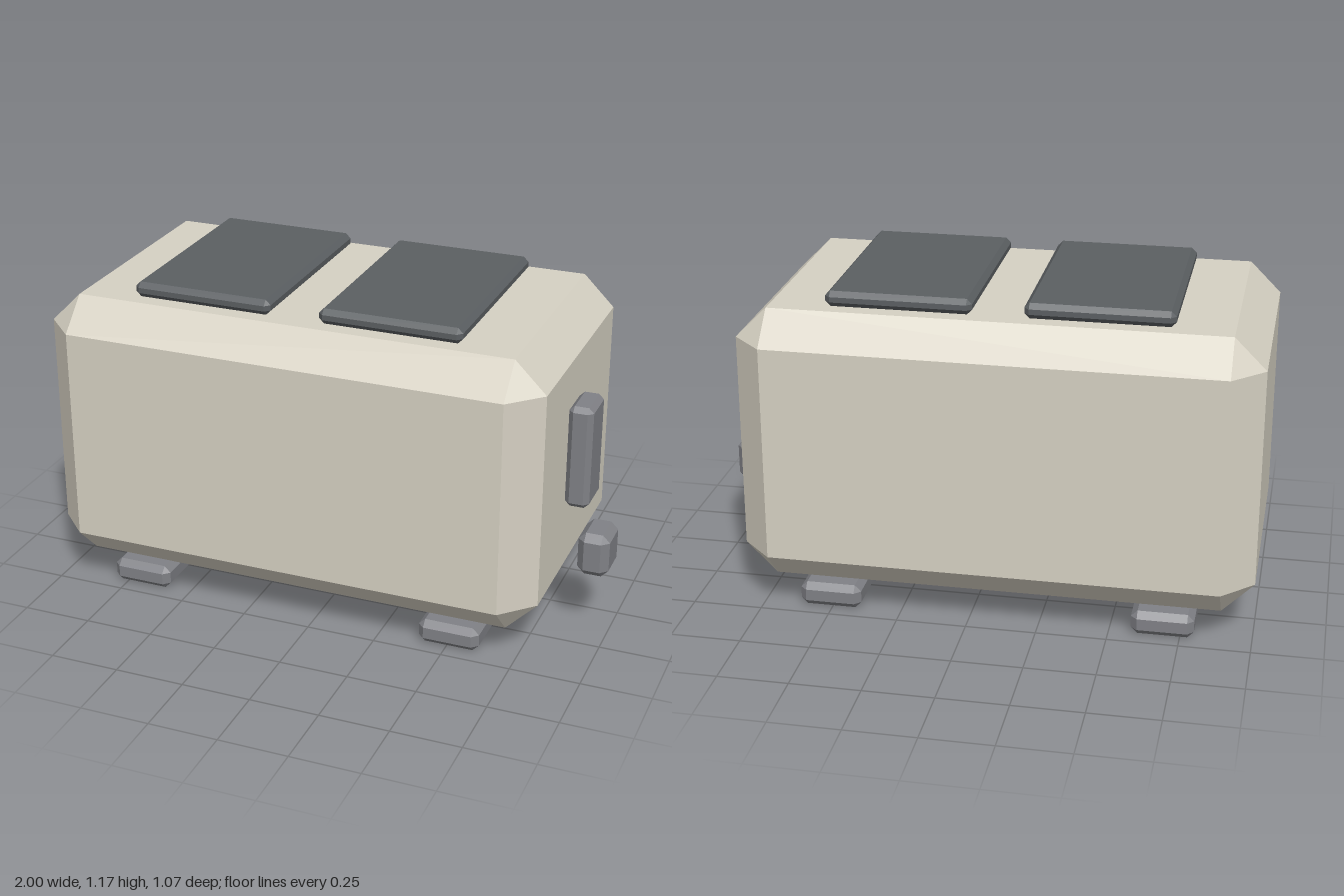
import * as THREE from 'three';
import { ConvexGeometry } from 'three/addons/geometries/ConvexGeometry.js';

// Box with all edges cut at 45 degrees and triangular corners
function chamferedBox(w, h, d, c) {
  const half = [w / 2, h / 2, d / 2];
  const points = [];
  for (const sx of [-1, 1]) for (const sy of [-1, 1]) for (const sz of [-1, 1]) {
    for (let axis = 0; axis < 3; axis++) {
      const [x, y, z] = half.map((v, i) => (i === axis ? v : v - c));
      points.push(new THREE.Vector3(sx * x, sy * y, sz * z));
    }
  }
  return new ConvexGeometry(points);
}

export function createModel() {
  const model = new THREE.Group();
  model.name = 'toaster';

  const shell = new THREE.MeshStandardMaterial({ color: 0xd6d1c3, flatShading: true });
  const dark = new THREE.MeshStandardMaterial({ color: 0x5b5f62, flatShading: true });
  const metal = new THREE.MeshStandardMaterial({ color: 0x808186, flatShading: true });

  const add = (name, material, size, chamfer, position) => {
    const mesh = new THREE.Mesh(chamferedBox(...size, chamfer), material);
    mesh.name = name;
    mesh.position.set(...position);
    model.add(mesh);
  };

  // Main body
  const bodyX = -0.091;
  add('body', shell, [1.818, 1.005, 1.066], 0.112, [bodyX, 0.6125, 0]);

  // Two slot covers on top
  for (const side of [-1, 1]) {
    add(side < 0 ? 'rightSlot' : 'leftSlot', dark, [0.512, 0.055, 0.766], 0.018,
      [bodyX + side * 0.345, 1.144, 0]);
  }

  // Lever and knob on the end
  add('lever', metal, [0.086, 0.376, 0.163], 0.018, [0.877, 0.689, 0.127]);
  add('knob', metal, [0.112, 0.161, 0.163], 0.026, [0.944, 0.323, 0.127]);

  // Four feet
  for (const sx of [-1, 1]) for (const sz of [-1, 1]) {
    add(`${sz > 0 ? 'front' : 'back'}${sx > 0 ? 'Left' : 'Right'}Foot`, metal,
      [0.222, 0.088, 0.22], 0.023, [bodyX + sx * 0.597, 0.044, sz * 0.345]);
  }

  return model;
}
